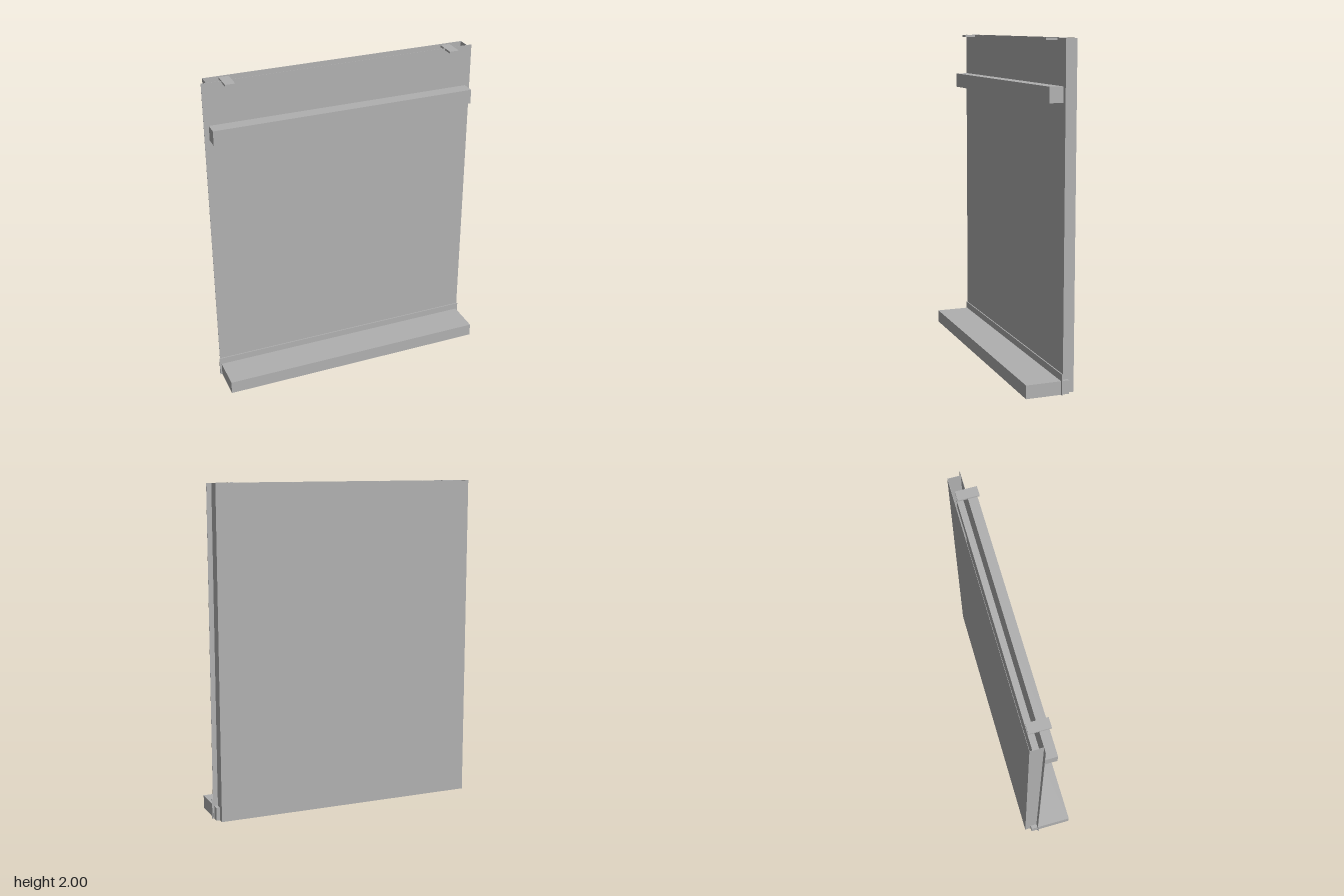
import * as THREE from 'three';

export function createModel() {
  const group = new THREE.Group();
  const grey = new THREE.MeshStandardMaterial({ color: 0xb0b0b0 });
  grey.name = 'plain grey';
  grey.side = THREE.DoubleSide;

  // Box given by its lower and upper limits on each axis
  function box(name, [x0, x1], [y0, y1], [z0, z1]) {
    const mesh = new THREE.Mesh(new THREE.BoxGeometry(x1 - x0, y1 - y0, z1 - z0), grey);
    mesh.position.set((x0 + x1) / 2, (y0 + y1) / 2, (z0 + z1) / 2);
    mesh.name = name;
    group.add(mesh);
  }

  // Hollow panel, open along the top
  const t = 0.002;
  box('backSheet', [-0.82, 0.82], [0, 2], [-0.15, -0.15 + t]);
  box('frontSheet', [-0.82, 0.82], [0, 2], [-0.07 - t, -0.07]);
  box('panelBottom', [-0.82, 0.82], [0, t], [-0.15 + t, -0.07 - t]);

  // Side walls with thin outward flanges, and top clips
  for (const [side, s] of [['left', 1], ['right', -1]]) {
    const span = (a, b) => [Math.min(s * a, s * b), Math.max(s * a, s * b)];
    box(side + 'Wall', span(0.82 - t, 0.82), [t, 2], [-0.15 + t, -0.07 - t]);
    box(side + 'Flange', span(0.82, 0.85), [0, 2], [-0.07 - t, -0.07]);
    box(side + 'Clip', span(0.67, 0.73), [1.988, 2], [-0.13, -0.003]);
  }

  // Upper rail, bottom shelf and the strip behind the shelf
  box('upperRail', [-0.82, 0.82], [1.65, 1.74], [-0.11, 0.013]);
  box('bottomShelf', [-0.843, 0.843], [0, 0.08], [-0.113, 0.15]);
  box('kickStrip', [-0.855, 0.855], [0, 0.122], [-0.07, -0.063]);

  return group;
}
